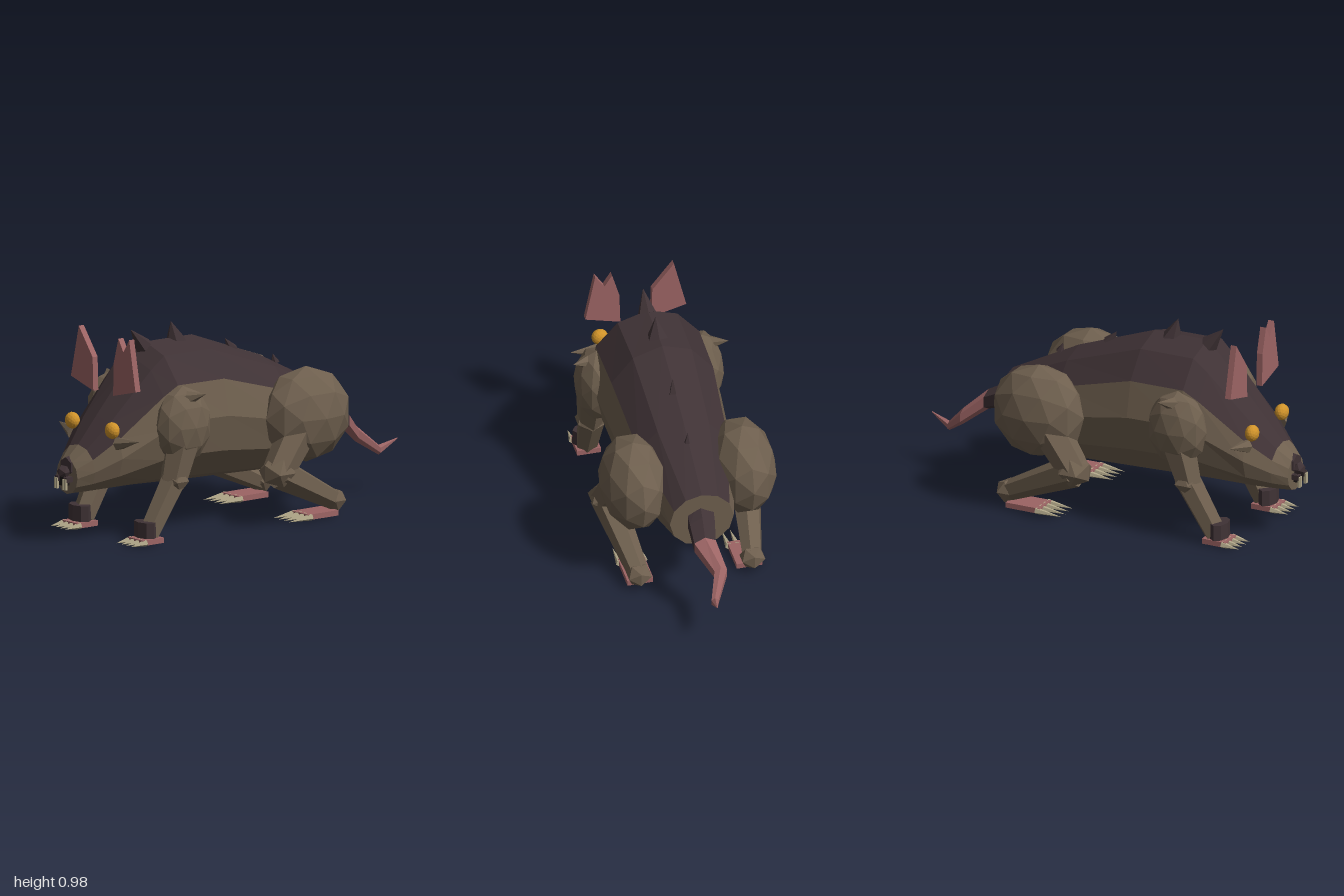
import * as THREE from 'three';

const mat = (name, color, extra = {}) => {
  const m = new THREE.MeshStandardMaterial({ color, flatShading: true, ...extra });
  m.name = name;
  return m;
};

export function createModel() {
  const hide = mat('brown hide', 0x6e5f4e);
  const dark = mat('dark fur', 0x3f3235);
  const skin = mat('pink skin', 0x9c6464);
  const amber = mat('amber eye', 0xd0932a);
  const bone = mat('bone', 0xb0a688);
  const black = mat('mouth black', 0x1b1718);

  const model = new THREE.Group();
  const V = (x, y, z) => new THREE.Vector3(x, y, z);

  function add(name, geometry, material, pos) {
    const mesh = new THREE.Mesh(geometry, material);
    mesh.name = name;
    if (pos) mesh.position.copy(pos);
    model.add(mesh);
    return mesh;
  }

  // Faceted ellipsoid
  function ball(name, material, pos, rx, ry, rz, detail = 1) {
    const mesh = add(name, new THREE.IcosahedronGeometry(1, detail), material, pos);
    mesh.scale.set(rx, ry, rz);
    return mesh;
  }

  // Tapered prism running from a to b
  function limb(name, material, a, b, ra, rb, sides = 6) {
    const dir = b.clone().sub(a);
    const mesh = add(name, new THREE.CylinderGeometry(rb, ra, dir.length(), sides), material,
      a.clone().add(b).multiplyScalar(0.5));
    mesh.quaternion.setFromUnitVectors(V(0, 1, 0), dir.normalize());
    return mesh;
  }

  // Skin elliptical sections [x, y, z, rx, ry], front to back;
  // useSecond(section, side) picks the second material
  function loft(name, sections, sides, materials, useSecond) {
    const pt = (s, j) => {
      const a = (j / sides) * Math.PI * 2;
      return [s[0] + s[3] * Math.sin(a), s[1] + s[4] * Math.cos(a), s[2]];
    };
    const lists = [[], []];
    for (let i = 0; i < sections.length - 1; i++) {
      for (let j = 0; j < sides; j++) {
        const A = pt(sections[i], j), D = pt(sections[i], j + 1);
        const B = pt(sections[i + 1], j), C = pt(sections[i + 1], j + 1);
        lists[useSecond(i, j) ? 1 : 0].push(...A, ...D, ...C, ...A, ...C, ...B);
      }
    }
    const first = sections[0], last = sections[sections.length - 1];
    for (let j = 0; j < sides; j++) {
      lists[0].push(...first.slice(0, 3), ...pt(first, j + 1), ...pt(first, j));
      lists[0].push(...last.slice(0, 3), ...pt(last, j), ...pt(last, j + 1));
    }
    const g = new THREE.BufferGeometry();
    g.setAttribute('position', new THREE.Float32BufferAttribute(lists[0].concat(lists[1]), 3));
    g.addGroup(0, lists[0].length / 3, 0);
    g.addGroup(lists[0].length / 3, lists[1].length / 3, 1);
    g.computeVertexNormals();
    return add(name, g, materials);
  }

  // Body and head, with a dark saddle over the upper facets
  loft('body', [
    [0, 0.32, 0.947, 0.08, 0.085],
    [0, 0.35, 0.88, 0.13, 0.115],
    [0, 0.413, 0.77, 0.2, 0.178],
    [0, 0.535, 0.55, 0.268, 0.305],
    [0, 0.567, 0.48, 0.29, 0.34],
    [0, 0.56, 0.2, 0.285, 0.345],
    [0, 0.48, -0.2, 0.25, 0.277],
    [0, 0.433, -0.55, 0.155, 0.145],
  ], 12, [hide, dark], (i, j) => i > 0 && (j < 2 || j > 9));

  // Tail: dark root, kinked pink end
  loft('tail', [
    [0, 0.445, -0.5, 0.075, 0.075],
    [0.01, 0.425, -0.6, 0.07, 0.06],
    [0.02, 0.385, -0.69, 0.06, 0.05],
    [-0.028, 0.295, -0.8, 0.035, 0.04],
    [0.025, 0.21, -0.9, 0.02, 0.024],
    [0.04, 0.255, -1, 0.003, 0.003],
  ], 6, [skin, dark], (i) => i < 2);

  // Nose, mouth and paired front teeth
  limb('nosePad', dark, V(0, 0.368, 0.93), V(0, 0.368, 0.955), 0.05, 0.045, 6);
  ball('nose', dark, V(0, 0.345, 0.965), 0.036, 0.034, 0.034, 0);
  add('mouth', new THREE.BoxGeometry(0.042, 0.045, 0.05), black, V(0, 0.302, 0.953));
  for (const x of [-0.038, -0.024, 0.024, 0.038]) {
    add('tooth', new THREE.BoxGeometry(0.01, 0.052, 0.012), bone, V(x, 0.29, 0.985));
    add('gum', new THREE.BoxGeometry(0.012, 0.025, 0.05), dark, V(x, 0.312, 0.96));
  }

  // Ears: flat plates, one whole and one notched
  const ears = {
    wholeEar: [[-0.075, 0.69], [-0.245, 0.735], [-0.185, 0.985], [-0.08, 0.85]],
    notchedEar: [[0.075, 0.69], [0.245, 0.735], [0.197, 0.978], [0.153, 0.912], [0.115, 0.972], [0.08, 0.85]],
  };
  for (const [name, pts] of Object.entries(ears)) {
    const shape = new THREE.Shape(pts.map(p => new THREE.Vector2(...p)));
    add(name, new THREE.ExtrudeGeometry(shape, { depth: 0.03, bevelEnabled: false }), skin, V(0, 0, 0.7));
  }

  // Spikes down the spine
  limb('backSpike', dark, V(0, 0.885, 0.49), V(0, 0.975, 0.565), 0.045, 0);
  limb('backSpike', dark, V(0, 0.885, 0.295), V(0, 0.985, 0.325), 0.052, 0);
  limb('backSpike', dark, V(0, 0.8, -0.04), V(0, 0.86, 0), 0.032, 0);
  limb('backSpike', dark, V(0, 0.705, -0.3), V(0, 0.75, -0.285), 0.022, 0);

  // Foot: pink sole with a row of claws
  function foot(name, x, back, front, tip, count, width) {
    add(name, new THREE.BoxGeometry(width, 0.026, front - back), skin, V(x, 0.02, (back + front) / 2));
    for (let i = 0; i < count; i++) {
      const cx = x + (i / (count - 1) - 0.5) * (width - 0.005);
      limb('claw', bone, V(cx, 0.02, front - 0.02), V(cx, 0.012, tip), 0.017, 0, 5);
    }
  }

  for (const s of [-1, 1]) {
    // Eye and cheek spike
    ball('eye', amber, V(0.151 * s, 0.545, 0.795), 0.04, 0.04, 0.033, 2);
    limb('cheekSpike', hide, V(0.17 * s, 0.482, 0.775), V(0.305 * s, 0.51, 0.755), 0.034, 0);

    // Front leg
    ball('shoulder', hide, V(0.255 * s, 0.545, 0.455), 0.105, 0.188, 0.152);
    limb('shoulderSpike', hide, V(0.295 * s, 0.68, 0.455), V(0.377 * s, 0.708, 0.41), 0.036, 0);
    limb('upperFrontLeg', hide, V(0.265 * s, 0.46, 0.47), V(0.265 * s, 0.28, 0.52), 0.085, 0.066);
    ball('elbow', hide, V(0.268 * s, 0.29, 0.515), 0.08, 0.066, 0.066, 0);
    limb('lowerFrontLeg', hide, V(0.262 * s, 0.29, 0.515), V(0.25 * s, 0.045, 0.655), 0.066, 0.055);
    const cuff = limb('wristCuff', dark, V(0.248 * s, 0.035, 0.675), V(0.248 * s, 0.11, 0.675), 0.068, 0.066, 8);
    cuff.scale.z = 0.62;
    foot('frontFoot', 0.25 * s, 0.61, 0.735, 0.805, 4, 0.115);

    // Hind leg
    ball('hip', hide, V(0.265 * s, 0.505, -0.275), 0.16, 0.23, 0.238);
    limb('thigh', hide, V(0.31 * s, 0.44, -0.19), V(0.335 * s, 0.26, -0.05), 0.09, 0.075);
    ball('knee', hide, V(0.333 * s, 0.265, -0.05), 0.095, 0.078, 0.088, 0);
    limb('shin', hide, V(0.335 * s, 0.265, -0.05), V(0.275 * s, 0.075, -0.43), 0.08, 0.05);
    ball('ankle', hide, V(0.275 * s, 0.075, -0.435), 0.065, 0.06, 0.058, 0);
    foot('hindFoot', 0.265 * s, -0.42, -0.24, -0.125, 4, 0.125);
  }

  return model;
}
